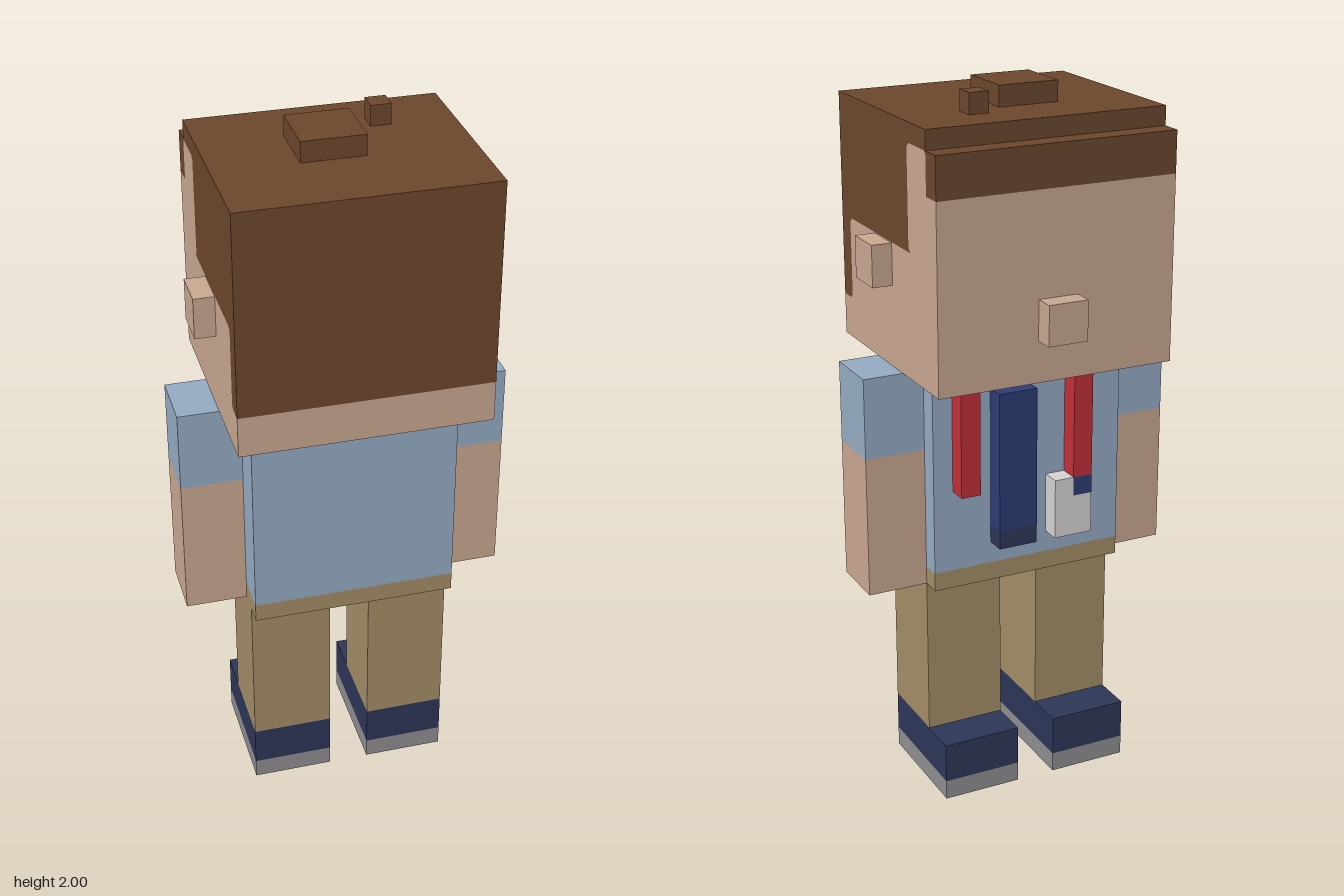
import * as THREE from 'three';

const mat = (name, color) => {
  const m = new THREE.MeshStandardMaterial({ color });
  m.name = name;
  return m;
};

export function createModel() {
  const skin = mat('skin', 0xc8a790);
  const hair = mat('hair', 0x6b462c);
  const shirt = mat('shirt', 0x94aac2);
  const trousers = mat('trousers', 0xa38c68);
  const shoe = mat('shoe', 0x2d3658);
  const sole = mat('sole', 0x8e8c90);
  const red = mat('red', 0xbf3038);
  const blue = mat('tieBlue', 0x2d3c75);
  const white = mat('badgeWhite', 0xd5d3d2);

  const model = new THREE.Group();
  model.name = 'figure';

  // Box given by its lower and upper limits on each axis
  const box = (parent, name, material, [x0, x1], [y0, y1], [z0, z1]) => {
    const mesh = new THREE.Mesh(new THREE.BoxGeometry(x1 - x0, y1 - y0, z1 - z0), material);
    mesh.position.set((x0 + x1) / 2, (y0 + y1) / 2, (z0 + z1) / 2);
    mesh.name = name;
    parent.add(mesh);
    return mesh;
  };
  // Mirrored pair: x range is given for the +x side
  const pair = (parent, name, material, [x0, x1], y, z) => {
    box(parent, name + 'Left', material, [x0, x1], y, z);
    box(parent, name + 'Right', material, [-x1, -x0], y, z);
  };
  // Side outline in (z, y), extruded over the width of the head
  const W = 0.343;
  const slab = (parent, name, material, outline) => {
    const shape = new THREE.Shape(outline.map(([z, y]) => new THREE.Vector2(z, y)));
    const geo = new THREE.ExtrudeGeometry(shape, { depth: 2 * W, bevelEnabled: false });
    geo.rotateY(-Math.PI / 2).translate(W, 0, 0);
    const mesh = new THREE.Mesh(geo, material);
    mesh.name = name;
    parent.add(mesh);
  };

  // Head: hair and skin meet along a shared hairline
  const head = new THREE.Group();
  head.name = 'head';
  model.add(head);
  const hairline = [
    [-0.226, 1.88], [-0.216, 1.89], [-0.122, 1.89], [-0.11, 1.878], [-0.11, 1.617],
    [-0.122, 1.605], [0.275, 1.605], [0.287, 1.593], [0.287, 1.385], [0.297, 1.375],
  ];
  slab(head, 'face', skin, [
    [W, 1.26], [-0.285, 1.26], [-0.285, 1.775], [-0.226, 1.775], ...hairline, [W, 1.375],
  ]);
  slab(head, 'hair', hair, [[-0.226, 1.943], ...hairline, [W, 1.375], [W, 1.943]]);
  box(head, 'fringe', hair, [-W, W], [1.775, 1.89], [-0.285, -0.226]);
  box(head, 'largeTuft', hair, [-0.115, 0.057], [1.943, 2], [-0.057, 0.114]);
  box(head, 'smallTuft', hair, [0.114, 0.17], [1.943, 2], [-0.114, -0.057]);
  box(head, 'nose', skin, [-0.057, 0.057], [1.375, 1.487], [-W, -0.285]);
  pair(head, 'ear', skin, [W, 0.4], [1.487, 1.603], [0, 0.114]);

  // Torso
  box(model, 'shirt', shirt, [-0.285, 0.285], [0.685, 1.26], [-0.114, 0.228]);
  box(model, 'waistband', trousers, [-0.285, 0.285], [0.632, 0.685], [-0.114, 0.228]);

  // Straps, tie and badge on the chest
  const front = [-0.171, -0.114];
  box(model, 'strapLeft', red, [0.171, 0.228], [0.92, 1.26], front);
  box(model, 'strapRight', red, [-0.171, -0.114], [0.92, 1.26], front);
  box(model, 'tie', blue, [0, 0.114], [0.8, 1.2], front);
  box(model, 'tieTip', shoe, [0, 0.114], [0.747, 0.8], front);
  box(model, 'badge', white, [-0.171, -0.057], [0.747, 0.865], front);
  box(model, 'badgeTop', white, [-0.114, -0.057], [0.865, 0.92], front);
  box(model, 'badgeClip', blue, [-0.171, -0.114], [0.865, 0.92], front);

  // Arms
  pair(model, 'sleeve', shirt, [0.285, 0.457], [1.032, 1.26], [-0.057, 0.114]);
  pair(model, 'forearm', skin, [0.285, 0.457], [0.632, 1.032], [-0.057, 0.114]);

  // Legs and shoes
  pair(model, 'leg', trousers, [0.057, 0.285], [0.172, 0.632], [-0.057, 0.172]);
  pair(model, 'shoe', shoe, [0.057, 0.285], [0.057, 0.172], [-0.171, 0.172]);
  pair(model, 'sole', sole, [0.057, 0.285], [0, 0.057], [-0.171, 0.172]);

  return model;
}
